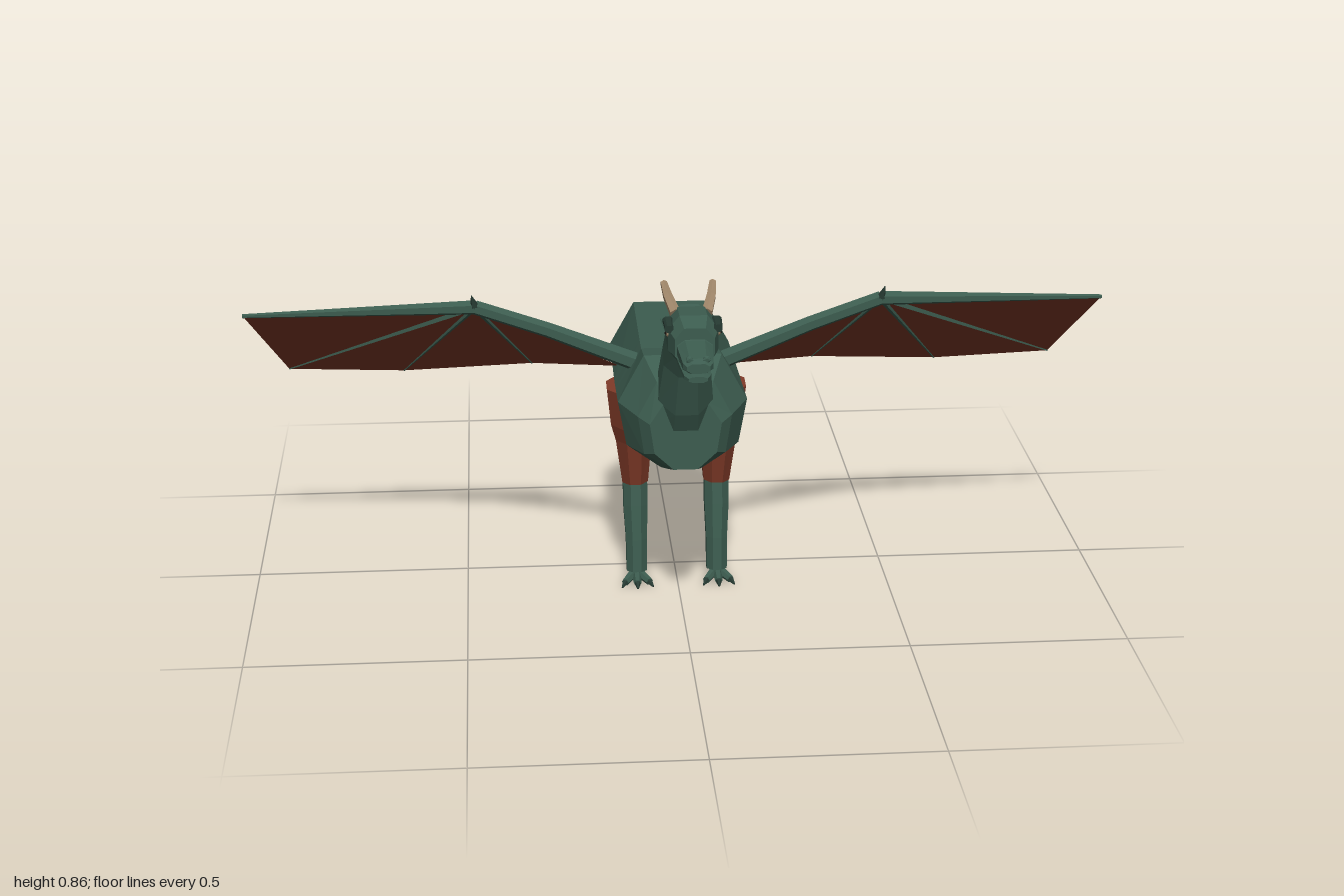
import * as THREE from 'three';

const mat = (name, color, side = THREE.FrontSide) =>
  Object.assign(new THREE.MeshStandardMaterial({ color, side, flatShading: true }), { name });
const V = (p) => new THREE.Vector3(...p);

// Skins a row of equal-sized rings; pick(row, side) chooses a material index per panel.
function loft(rings, pick = () => 0) {
  const n = rings[0].length, tris = [], slots = [];
  const add = (a, b, c, m) => { tris.push([a, b, c]); slots.push(m); };
  for (let i = 0; i < rings.length - 1; i++) {
    for (let j = 0; j < n; j++) {
      const k = (j + 1) % n, m = pick(i, j);
      add(rings[i][j], rings[i][k], rings[i + 1][k], m);
      add(rings[i][j], rings[i + 1][k], rings[i + 1][j], m);
    }
  }
  const last = rings[rings.length - 1];
  for (let j = 1; j < n - 1; j++) {
    add(rings[0][0], rings[0][j + 1], rings[0][j], 0);
    add(last[0], last[j], last[j + 1], 0);
  }
  // Turn every face outwards using the sign of the enclosed volume
  let volume = 0;
  const o = rings[0][0];
  for (const [a, b, c] of tris) {
    volume += a.clone().sub(o).dot(b.clone().sub(o).cross(c.clone().sub(o)));
  }
  const pts = tris.flatMap(([a, b, c]) => (volume < 0 ? [a, c, b] : [a, b, c]));
  const g = new THREE.BufferGeometry().setFromPoints(pts);
  slots.forEach((m, i) => g.addGroup(i * 3, 3, m));
  g.computeVertexNormals();
  return g;
}

// Limb along a path; stops are [x, y, z, radius across, radius deep].
function limb(stops, sides = 8, hint = [1, 0, 0]) {
  const c = stops.map((s) => V(s.slice(0, 3)));
  return loft(stops.map((s, i) => {
    const t = c[Math.min(i + 1, c.length - 1)].clone().sub(c[Math.max(i - 1, 0)]).normalize();
    const u = V(hint).addScaledVector(t, -V(hint).dot(t)).normalize();
    const v = t.clone().cross(u);
    return Array.from({ length: sides }, (_, j) => {
      const a = ((j + 0.5) / sides) * Math.PI * 2;
      return c[i].clone().addScaledVector(u, Math.cos(a) * s[3]).addScaledVector(v, Math.sin(a) * (s[4] ?? s[3]));
    });
  }));
}

// Chamfered box sections along z; each is [z, bottom, top, half width].
const block = (sections) => loft(sections.map(([z, b, t, w]) => {
  const h = (t - b) * 0.28, k = w * 0.55;
  return [[k, t], [w, t - h], [w, b + h], [k, b], [-k, b], [-w, b + h], [-w, t - h], [-k, t]]
    .map(([x, y]) => V([x, y, z]));
}));

export function createModel() {
  const green = mat('scale green', 0x3c5c4f);
  const dark = mat('dark green', 0x263a32);
  const red = mat('rust red', 0x7b3826);
  const skin = mat('wing skin rust', 0x7b3826, THREE.DoubleSide);
  const tan = mat('belly tan', 0x867458);
  const horn = mat('horn tan', 0xa0876a);
  const black = mat('eye black', 0x15120f);

  const model = new THREE.Group();
  model.name = 'dragon';
  const put = (name, geometry, material, parent = model) => {
    const m = new THREE.Mesh(geometry, material);
    m.name = name;
    parent.add(m);
    return m;
  };

  // Body: [z, top, upper side, lower side, bottom, width factor]
  const body = [
    [0.36, 0.55, 0.5, 0.43, 0.39, 0.55],
    [0.335, 0.592, 0.51, 0.42, 0.382, 0.72],
    [0.262, 0.63, 0.52, 0.415, 0.358, 1],
    [0.165, 0.613, 0.515, 0.42, 0.332, 1],
    [0.11, 0.613, 0.513, 0.422, 0.328, 1],
    [-0.167, 0.615, 0.51, 0.432, 0.366, 0.98],
    [-0.217, 0.575, 0.51, 0.47, 0.445, 0.52],
  ].map(([z, a, b, c, d, w]) => [
    [0.088, a], [0.147, b], [0.128, c], [0.05, d], [-0.05, d], [-0.128, c], [-0.147, b], [-0.088, a],
  ].map(([x, y]) => V([x * w, y, z])));
  const bellyPanel = (i, j) => (j === 3 && i < 5) || ((j === 2 || j === 4) && (i === 3 || i === 4));
  put('body', loft(body, (i, j) => (bellyPanel(i, j) ? 1 : 0)), [green, tan]);

  // Neck with a row of spines
  put('neck', limb([
    [0, 0.5, 0.28, 0.075, 0.085], [0, 0.565, 0.322, 0.067, 0.078], [0, 0.665, 0.372, 0.056, 0.065],
    [0, 0.74, 0.43, 0.05, 0.055], [0, 0.775, 0.48, 0.048, 0.05],
  ]), green);
  for (const [y, z, s] of [[0.775, 0.43, 1], [0.735, 0.385, 0.8], [0.695, 0.347, 0.6]]) {
    put('neckSpine', limb([[0, y - 0.02, z + 0.015, 0.009 * s, 0.016 * s], [0, y + 0.024 * s, z - 0.017 * s, 0.001]], 4), red);
  }

  // Head
  const head = new THREE.Group();
  head.name = 'head';
  model.add(head);
  put('skull', block([[0.445, 0.735, 0.8, 0.042], [0.49, 0.718, 0.82, 0.054], [0.56, 0.716, 0.823, 0.054], [0.602, 0.722, 0.808, 0.042]]), green, head);
  put('upperSnout', block([[0.57, 0.738, 0.797, 0.044], [0.605, 0.738, 0.782, 0.038], [0.685, 0.738, 0.77, 0.032], [0.7, 0.742, 0.763, 0.024]]), green, head);
  put('lowerJaw', block([[0.57, 0.714, 0.736, 0.036], [0.67, 0.714, 0.733, 0.028], [0.69, 0.718, 0.731, 0.02]]), green, head);
  for (const s of [1, -1]) {
    put('nostril', new THREE.IcosahedronGeometry(0.009, 0).translate(s * 0.018, 0.768, 0.686), green, head);
    put('brow', block([[0.525, 0.793, 0.81, 0.011], [0.575, 0.79, 0.806, 0.009]]).translate(s * 0.052, 0, 0), dark, head);
    put('eye', new THREE.IcosahedronGeometry(0.01, 1).translate(s * 0.05, 0.783, 0.553), horn, head);
    put('pupil', new THREE.IcosahedronGeometry(0.004, 0).translate(s * 0.058, 0.784, 0.556), black, head);
    put('horn', limb([
      [s * 0.034, 0.808, 0.5, 0.013], [s * 0.047, 0.832, 0.455, 0.011],
      [s * 0.053, 0.85, 0.418, 0.008], [s * 0.056, 0.836, 0.376, 0.001],
    ], 6), horn, head);
    put('cheekHorn', limb([[s * 0.048, 0.765, 0.48, 0.009], [s * 0.062, 0.775, 0.437, 0.001]], 5), green, head);
  }

  // Tail, curving to the left, with an arrow tip
  put('tail', limb([
    [0, 0.475, -0.2, 0.045, 0.046], [0.003, 0.465, -0.3, 0.036, 0.039], [0.015, 0.43, -0.41, 0.026, 0.028],
    [0.042, 0.375, -0.51, 0.014, 0.016], [0.066, 0.332, -0.597, 0.007, 0.007],
  ]), green);
  put('tailTip', limb([[0.064, 0.335, -0.578, 0.03, 0.009], [0.083, 0.29, -0.69, 0.001]], 4), red);

  for (const s of [1, -1]) {
    const side = s > 0 ? 'left' : 'right';

    // Wing: arm bones, finger ribs and skin panels fanning from the elbow
    const wing = new THREE.Group();
    wing.name = side + 'Wing';
    model.add(wing);
    const elbow = [0.465, 0.715, 0.147];
    const fan = [[0.995, 0.686, 0.085], [0.908, 0.502, -0.065], [0.64, 0.475, -0.11], [0.335, 0.502, -0.065], [0.13, 0.525, 0.035]];
    const flip = ([x, y, z, ...r]) => [s * x, y, z, ...r];
    put('upperArm', limb([[0.09, 0.575, 0.16, 0.022], [0.3, 0.66, 0.157, 0.018], [...elbow, 0.017]].map(flip), 6, [0, 0, 1]), green, wing);
    put('forearm', limb([[...elbow, 0.017], [...fan[0], 0.005]].map(flip), 6, [0, 0, 1]), green, wing);
    put('wingClaw', limb([[0.465, 0.72, 0.155, 0.01], [0.472, 0.748, 0.162, 0.001]].map(flip), 5, [0, 0, 1]), dark, wing);
    for (const p of fan.slice(1, 4)) {
      put('wingFinger', limb([[...elbow, 0.008], [...p, 0.002]].map(flip), 4, [0, 1, 0]), green, wing);
    }
    const panels = fan.slice(1).flatMap((p, i) => [elbow, fan[i], p].map((q) => V(flip(q))));
    const membrane = new THREE.BufferGeometry().setFromPoints(panels);
    membrane.computeVertexNormals();
    put('wingSkin', membrane, skin, wing);

    // Leg: rust thigh, green shin, clawed foot
    const leg = new THREE.Group();
    leg.name = side + 'Leg';
    model.add(leg);
    put('thigh', limb([
      [0.108, 0.487, 0.057, 0.06, 0.054], [0.105, 0.395, 0.042, 0.053, 0.062],
      [0.1, 0.35, 0.04, 0.046, 0.056], [0.097, 0.238, 0.04, 0.033, 0.038],
    ].map(flip)), red, leg);
    put('shin', limb([
      [0.097, 0.245, 0.04, 0.031, 0.036], [0.097, 0.18, 0.052, 0.031, 0.036],
      [0.096, 0.1, 0.07, 0.027, 0.031], [0.096, 0.022, 0.08, 0.026, 0.029],
    ].map(flip)), green, leg);
    const heel = [0.097, 0.018, 0.075];
    for (const [x, z] of [[0.068, 0.128], [0.097, 0.135], [0.126, 0.128], [0.097, 0.05]]) {
      const tip = [x, 0.01, z], d = V(tip).sub(V(heel)).setLength(0.017);
      put('toe', limb([[...heel, 0.013, 0.013], [...tip, 0.009, 0.009]].map(flip), 6, [0, 1, 0]), green, leg);
      put('claw', limb([[...tip, 0.008], [x + d.x, 0.003, z + d.z, 0.002]].map(flip), 5, [0, 1, 0]), dark, leg);
    }
  }
  return model;
}
